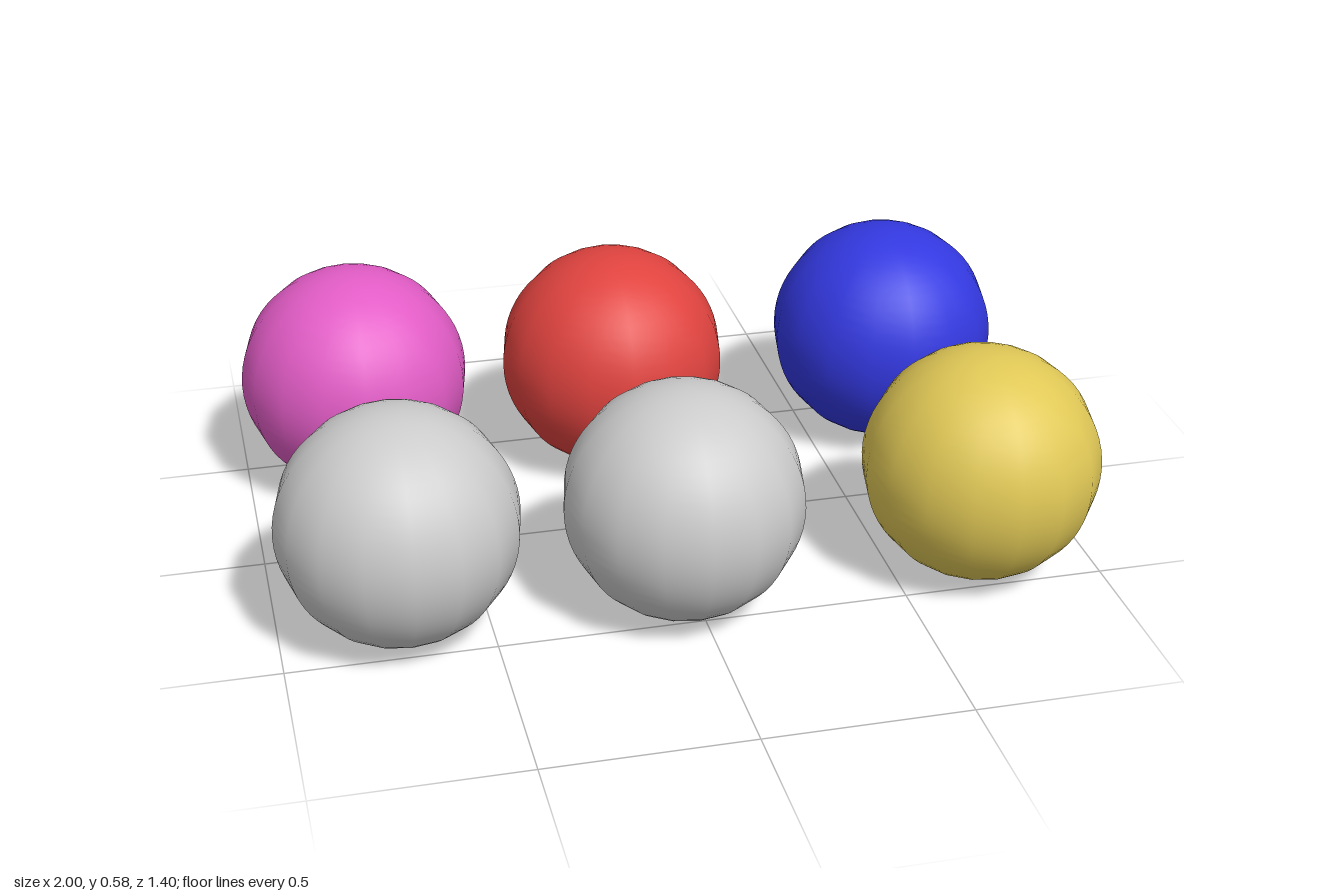
import * as THREE from 'three';

const RADIUS = 0.289;

// name, colour, x, z of each ball resting on the ground
const BALLS = [
  ['magentaBall', 0xe25cc6, -0.711, -0.414],
  ['redBall', 0xe0433f, -0.037, -0.382],
  ['blueBall', 0x3338e0, 0.704, -0.381],
  ['greyBallRight', 0xcccccc, -0.706, 0.375],
  ['greyBallMiddle', 0xcccccc, -0.033, 0.412],
  ['yellowBall', 0xe0c856, 0.711, 0.394],
];

export function createModel() {
  const model = new THREE.Group();
  model.name = 'balls';

  // sixteen sides around, finer from pole to pole, smooth shaded
  const sphere = new THREE.SphereGeometry(RADIUS, 16, 32);

  for (const [name, color, x, z] of BALLS) {
    const ball = new THREE.Mesh(sphere, new THREE.MeshStandardMaterial({ color }));
    ball.name = name;
    ball.position.set(x, RADIUS, z);
    model.add(ball);
  }
  return model;
}
